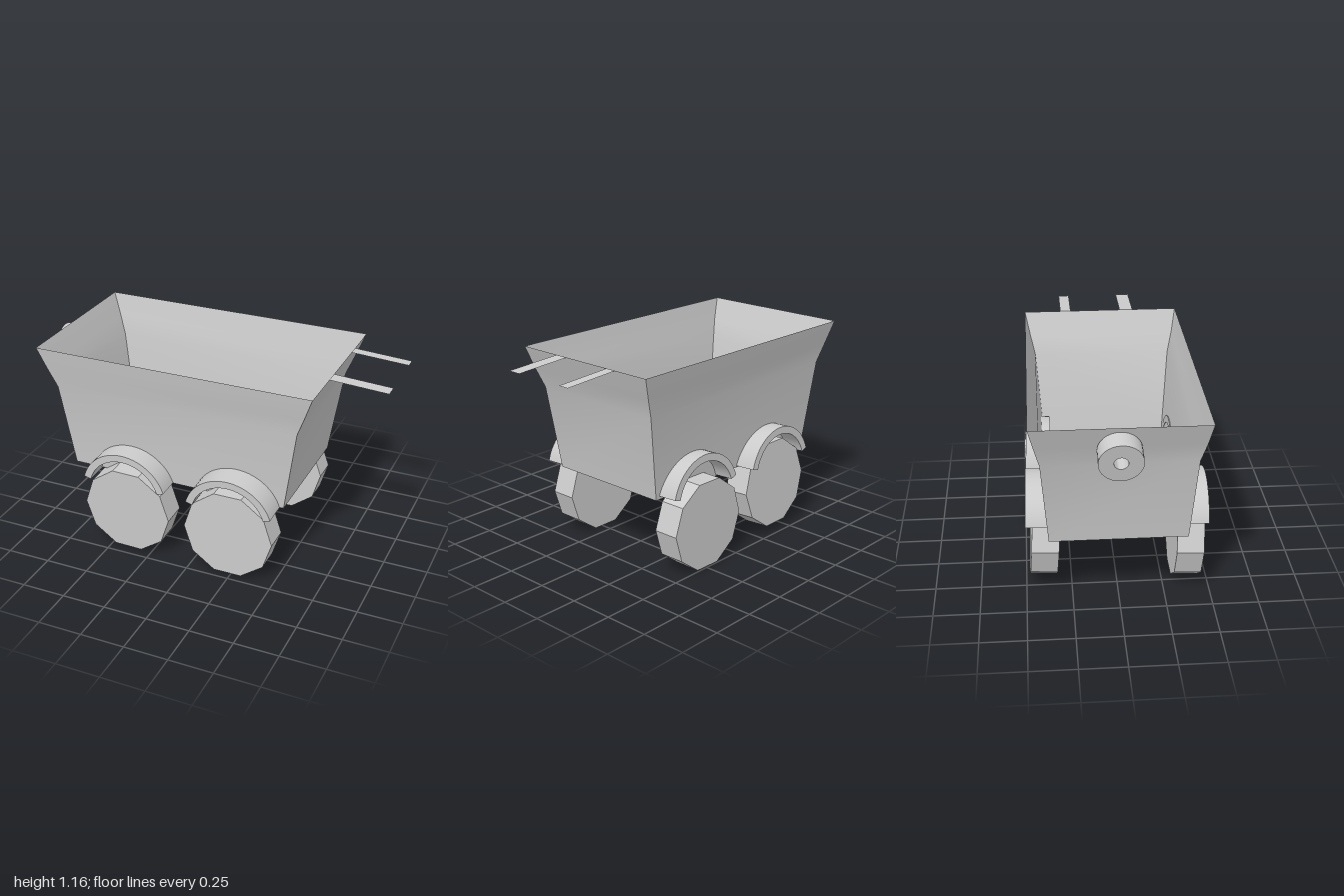
import * as THREE from 'three';
import { toCreasedNormals } from 'three/addons/utils/BufferGeometryUtils.js';

const grey = new THREE.MeshStandardMaterial({ color: 0xcccccc });
const greyThin = new THREE.MeshStandardMaterial({ color: 0xcccccc, side: THREE.DoubleSide });
const greyFlat = new THREE.MeshStandardMaterial({ color: 0xcccccc, flatShading: true });

function part(name, geometry, material = grey) {
  const mesh = new THREE.Mesh(geometry, material);
  mesh.name = name;
  return mesh;
}

// Open flared tub: rectangular rings stacked upwards, closed by a floor
function tubGeometry() {
  // y, x min, x max, z min, z max
  const rings = [
    [0.445, -0.757, 0.515, -0.374, 0.354],
    [0.925, -0.825, 0.588, -0.41, 0.388],
    [1.04, -0.867, 0.634, -0.437, 0.416],
    [1.165, -0.915, 0.68, -0.464, 0.438],
  ].map(([y, x0, x1, z0, z1]) => [[x0, y, z1], [x1, y, z1], [x1, y, z0], [x0, y, z0]]);
  const positions = [];
  const quad = (a, b, c, d) => positions.push(...a, ...b, ...c, ...a, ...c, ...d);
  for (let r = 0; r < rings.length - 1; r++) {
    for (let i = 0; i < 4; i++) {
      const j = (i + 1) % 4;
      quad(rings[r][i], rings[r][j], rings[r + 1][j], rings[r + 1][i]);
    }
  }
  const [a, b, c, d] = rings[0];
  quad(d, c, b, a);
  const geometry = new THREE.BufferGeometry();
  geometry.setAttribute('position', new THREE.Float32BufferAttribute(positions, 3));
  return toCreasedNormals(geometry, 0.6);
}

// Arched mudguard: a ring sector extruded along z
function fenderGeometry() {
  const start = 0.28, end = Math.PI - start, depth = 0.14;
  const shape = new THREE.Shape();
  shape.absarc(0, 0, 0.257, start, end, false);
  shape.absarc(0, 0, 0.215, end, start, true);
  const geometry = new THREE.ExtrudeGeometry(shape, { depth, bevelEnabled: false, curveSegments: 14 });
  geometry.translate(0, 0, -depth / 2);
  return toCreasedNormals(geometry, 0.6);
}

// Round lamp with a hole along its axis (axis = y before placing)
function lampGeometry() {
  const profile = [[0.036, -0.05], [0.113, -0.05], [0.113, 0.05], [0.036, 0.05], [0.036, -0.05]]
    .map(([r, y]) => new THREE.Vector2(r, y));
  return toCreasedNormals(new THREE.LatheGeometry(profile, 32), 0.6);
}

export function createModel() {
  const model = new THREE.Group();
  model.name = 'cart';
  model.add(part('tub', tubGeometry(), greyThin));

  // Ten-sided solid wheels, each set a little differently
  const wheelGeometry = new THREE.CylinderGeometry(0.26, 0.26, 0.147, 10);
  wheelGeometry.rotateY(Math.PI / 2).rotateX(Math.PI / 2);
  const wheels = [
    // name, x, y, z, tilt, spin
    ['frontLeftWheel', 0.23, 0.257, 0.383, 0, 0],
    ['frontRightWheel', -0.386, 0.264, 0.385, 0.04, -0.02],
    ['backLeftWheel', 0.23, 0.253, -0.419, 0, 0.02],
    ['backRightWheel', -0.382, 0.303, -0.393, 0.057, 0],
  ];
  // Put a corner of the ten-sided outline on the x axis
  wheelGeometry.computeBoundingBox();
  if (wheelGeometry.boundingBox.max.x < 0.259) wheelGeometry.rotateZ(Math.PI / 10);
  for (const [name, x, y, z, tilt, spin] of wheels) {
    const wheel = part(name, wheelGeometry, greyFlat);
    wheel.position.set(x, y, z);
    wheel.rotation.set(tilt, 0, spin);
    model.add(wheel);
  }

  // Mudguards above the wheels
  const fender = fenderGeometry();
  const fenders = [
    ['frontLeftFender', 0.245, 0.371, 0.42, 0.05],
    ['frontRightFender', -0.39, 0.374, 0.408, 0.03],
    ['backLeftFender', 0.245, 0.396, -0.422, 0.05],
    ['backRightFender', -0.39, 0.385, -0.43, 0.05],
  ];
  for (const [name, x, y, z, tilt] of fenders) {
    const mesh = part(name, fender);
    mesh.position.set(x, y, z);
    mesh.rotation.x = tilt;
    model.add(mesh);
  }

  // Lamp hung on the end wall, facing slightly down
  const lamp = part('lamp', lampGeometry(), greyThin);
  lamp.position.set(-0.927, 1.017, -0.018);
  lamp.rotation.z = -Math.PI / 2 + 0.235;
  model.add(lamp);

  // Flat handle strips sloping gently away from the rim
  for (const [name, z, width] of [['leftHandle', -0.222, 0.062], ['rightHandle', 0.143, 0.077]]) {
    const handle = part(name, new THREE.PlaneGeometry(0.32, width).rotateX(-Math.PI / 2), greyThin);
    handle.position.set(0.84, 1.156, z);
    handle.rotation.z = -0.056;
    model.add(handle);
  }
  return model;
}
